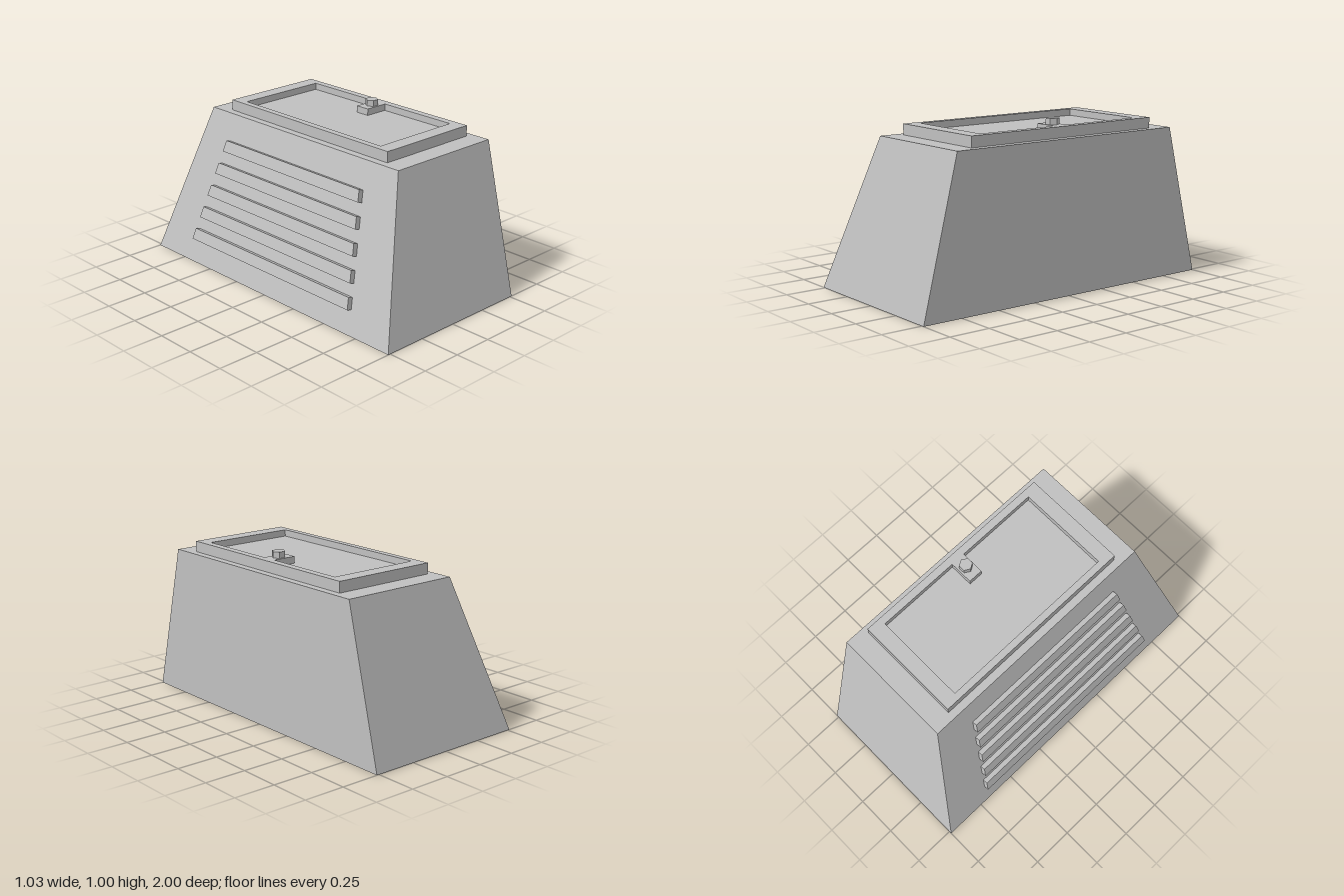
import * as THREE from 'three';

export function createModel() {
  const group = new THREE.Group();
  const grey = new THREE.MeshStandardMaterial({ color: 0xc0c0c0 });
  grey.name = 'plain grey';

  const add = (name, geometry, parent = group) => {
    const mesh = new THREE.Mesh(geometry, grey);
    mesh.name = name;
    parent.add(mesh);
    return mesh;
  };
  const polygon = (points, Type = THREE.Shape) =>
    new Type(points.map(([x, y]) => new THREE.Vector2(x, y)));

  // Body: a box whose top is drawn in at the front, back and right, upright at the left
  const H = 0.903, halfX = 0.515, topX = -0.226, topZ = 0.775;
  const bodyGeo = new THREE.BoxGeometry(2 * halfX, H, 2);
  bodyGeo.translate(0, H / 2, 0);
  const p = bodyGeo.attributes.position;
  for (let i = 0; i < p.count; i++) {
    if (p.getY(i) < H / 2) continue;
    p.setZ(i, Math.sign(p.getZ(i)) * topZ);
    if (p.getX(i) < 0) p.setX(i, topX);
  }
  bodyGeo.computeVertexNormals();
  add('body', bodyGeo);

  // Lid frame with a recess; a small tab reaches into the recess
  const lidTop = 0.967, floorY = 0.927;
  const frame = polygon([[-0.18, -0.65], [0.47, -0.65], [0.47, 0.65], [-0.18, 0.65]]);
  frame.holes.push(polygon([
    [-0.14, -0.56], [-0.14, 0.56], [0.425, 0.56], [0.425, 0.045],
    [0.28, 0.045], [0.28, -0.045], [0.425, -0.045], [0.425, -0.56],
  ], THREE.Path));
  const frameGeo = new THREE.ExtrudeGeometry(frame, { depth: lidTop - H, bevelEnabled: false });
  frameGeo.rotateX(-Math.PI / 2);
  add('lidFrame', frameGeo).position.y = H;

  // Recessed panel inside the frame
  const panel = add('lidPanel', new THREE.BoxGeometry(0.565, floorY - H, 1.12));
  panel.position.set(0.1425, (floorY + H) / 2, 0);

  // Six-sided knob on the tab
  const knobGeo = new THREE.CylinderGeometry(0.039, 0.039, 0.036, 6).toNonIndexed();
  knobGeo.rotateY(Math.PI / 2);
  knobGeo.computeVertexNormals();
  add('knob', knobGeo).position.set(0.359, lidTop + 0.018, 0);

  // Slats on the sloping side: local x runs along z, local y up the slope
  const slats = new THREE.Group();
  slats.name = 'slats';
  const along = new THREE.Vector3(0, 0, 1);
  const up = new THREE.Vector3(topX + halfX, H, 0).normalize();
  const out = new THREE.Vector3().crossVectors(along, up);
  slats.quaternion.setFromRotationMatrix(new THREE.Matrix4().makeBasis(along, up, out));
  slats.position.x = -halfX;
  group.add(slats);

  const halfLength = s => 0.702 - 0.177 * s;
  for (let i = 0; i < 5; i++) {
    const s0 = 0.139 + i * 0.1444, s1 = s0 + 0.069;
    const a = halfLength(s0), b = halfLength(s1);
    const shape = polygon([[-a, s0], [a, s0], [b, s1], [-b, s1]]);
    add('slat', new THREE.ExtrudeGeometry(shape, { depth: 0.032, bevelEnabled: false }), slats);
  }
  return group;
}
